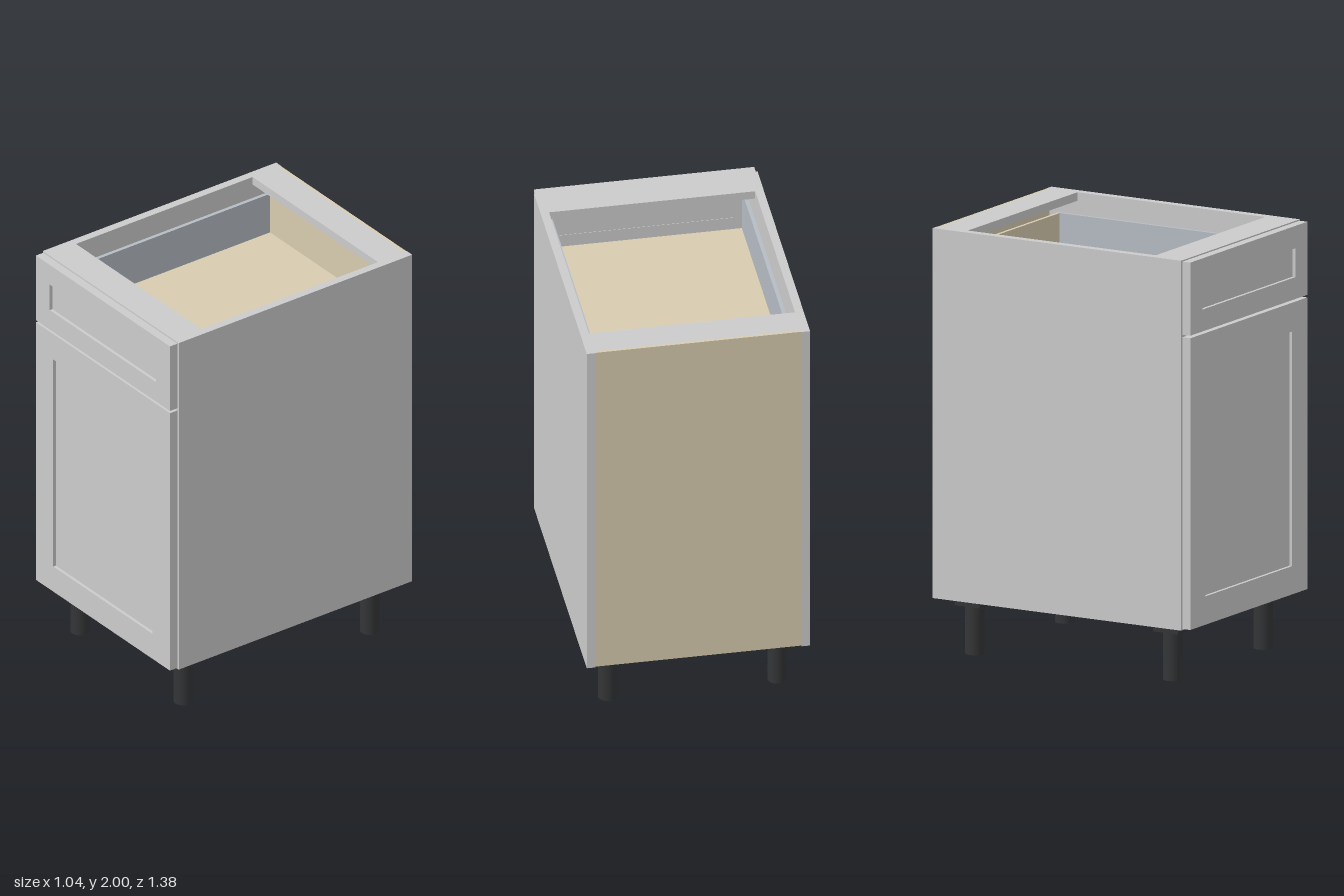
import * as THREE from 'three';

const grey = new THREE.MeshStandardMaterial({ color: 0xcccccc });
const wood = new THREE.MeshStandardMaterial({ color: 0xd8ccb0 });
const metal = new THREE.MeshStandardMaterial({ color: 0xb6bcc4 });
const black = new THREE.MeshStandardMaterial({ color: 0x343536 });

// Box given by its lower and upper limits on each axis
function slab(parent, name, material, [x0, x1], [y0, y1], [z0, z1]) {
  const mesh = new THREE.Mesh(new THREE.BoxGeometry(x1 - x0, y1 - y0, z1 - z0), material);
  mesh.position.set((x0 + x1) / 2, (y0 + y1) / 2, (z0 + z1) / 2);
  mesh.name = name;
  parent.add(mesh);
}

function rectangle(path, w, y0, y1) {
  path.moveTo(-w, y0);
  path.lineTo(w, y0);
  path.lineTo(w, y1);
  path.lineTo(-w, y1);
  path.closePath();
  return path;
}

// Framed front with a recessed centre panel
function framedFront(name, w, y0, y1, iw, iy0, iy1) {
  const group = new THREE.Group();
  group.name = name;
  const shape = rectangle(new THREE.Shape(), w, y0, y1);
  shape.holes.push(rectangle(new THREE.Path(), iw, iy0, iy1));
  const frame = new THREE.Mesh(
    new THREE.ExtrudeGeometry(shape, { depth: 0.042, bevelEnabled: false }), grey);
  frame.position.z = 0.648;
  frame.name = 'frame';
  group.add(frame);
  slab(group, 'recessedPanel', grey, [-iw, iw], [iy0, iy1], [0.65, 0.675]);
  return group;
}

export function createModel() {
  const model = new THREE.Group();
  model.name = 'baseCabinet';

  // Carcass
  const carcass = new THREE.Group();
  carcass.name = 'carcass';
  model.add(carcass);
  for (const [side, x] of [['left', 0.5], ['right', -0.5]]) {
    slab(carcass, side + 'SidePanel', grey, [x - 0.02, x + 0.02], [0.265, 2], [-0.69, 0.645]);
  }
  slab(carcass, 'bottomPanel', wood, [-0.48, 0.48], [0.268, 0.308], [-0.675, 0.64]);
  slab(carcass, 'bottomEdge', grey, [-0.48, 0.48], [0.268, 0.308], [0.64, 0.645]);
  slab(carcass, 'backPanel', wood, [-0.48, 0.48], [0.268, 2], [-0.688, -0.675]);
  slab(carcass, 'backRail', grey, [-0.48, 0.48], [1.96, 2], [-0.675, -0.525]);
  slab(carcass, 'frontRail', grey, [-0.48, 0.48], [1.96, 2], [0.485, 0.645]);

  // Drawer box on side runners
  const drawer = new THREE.Group();
  drawer.name = 'drawer';
  model.add(drawer);
  slab(drawer, 'drawerFloor', wood, [-0.45, 0.45], [1.68, 1.695], [-0.61, 0.645]);
  slab(drawer, 'drawerBack', wood, [-0.45, 0.45], [1.695, 1.9], [-0.615, -0.6]);
  for (const s of [-1, 1]) {
    const span = (a, b) => (s > 0 ? [a, b] : [-b, -a]);
    slab(drawer, 'drawerSide', metal, span(0.447, 0.465), [1.67, 1.9], [-0.615, 0.645]);
    slab(drawer, 'runner', metal, span(0.465, 0.48), [1.68, 1.74], [-0.52, 0.63]);
  }
  drawer.add(framedFront('drawerFront', 0.513, 1.652, 1.995, 0.407, 1.755, 1.89));

  // Door
  model.add(framedFront('door', 0.513, 0.272, 1.64, 0.38, 0.405, 1.505));

  // Four legs with square mounting plates
  for (const x of [-0.395, 0.395]) {
    for (const z of [-0.54, 0.525]) {
      const leg = new THREE.Group();
      leg.name = (z > 0 ? 'front' : 'back') + (x > 0 ? 'Left' : 'Right') + 'Leg';
      const post = new THREE.Mesh(new THREE.CylinderGeometry(0.045, 0.045, 0.23, 32), black);
      post.position.y = 0.115;
      post.name = 'post';
      leg.add(post);
      slab(leg, 'mountingPlate', black, [-0.067, 0.067], [0.23, 0.268], [-0.067, 0.067]);
      leg.position.set(x, 0, z);
      model.add(leg);
    }
  }
  return model;
}
